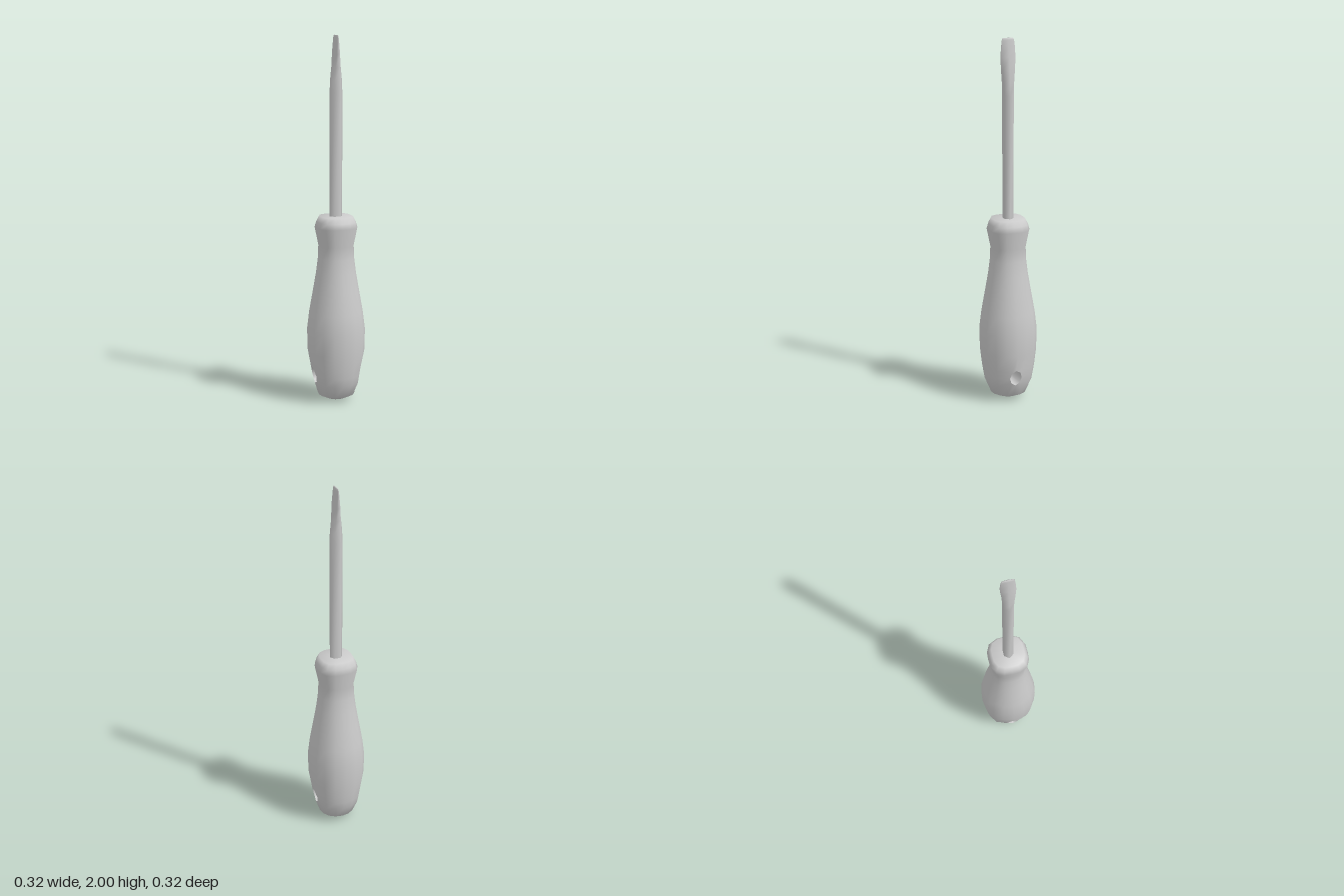
import * as THREE from 'three';

const material = new THREE.MeshStandardMaterial({ color: 0xcccccc });

function makeMesh(name, points, index) {
  const geometry = new THREE.BufferGeometry();
  geometry.setAttribute('position', new THREE.Float32BufferAttribute(points.flat(), 3));
  geometry.setIndex(index);
  geometry.computeVertexNormals();
  const mesh = new THREE.Mesh(geometry, material);
  mesh.name = name;
  return mesh;
}

// Skin a stack of rings from bottom to top and close both ends with a fan.
function loft(name, rings, bottomY, topY, skip = () => false) {
  const n = rings[0].length;
  const points = rings.flat();
  const index = [];
  for (let j = 0; j < rings.length - 1; j++) {
    for (let k = 0; k < n; k++) {
      if (skip(j, k)) continue;
      const a = j * n + k, b = j * n + (k + 1) % n;
      index.push(a, b, b + n, a, b + n, a + n);
    }
  }
  const bottom = points.push([0, bottomY, 0]) - 1;
  const top = points.push([0, topY, 0]) - 1;
  const last = (rings.length - 1) * n;
  for (let k = 0; k < n; k++) {
    const k2 = (k + 1) % n;
    index.push(bottom, k2, k, top, last + k, last + k2);
  }
  return makeMesh(name, points, index);
}

// Handle: round belly turning into a squarish collar, with a hanging hole.
const SIDES = 16;
const HOLE_ROW = 3;
const HOLE = { y: 0.147, rz: 0.034, ry: 0.045 };
// height, radius, squareness
const HANDLE = [
  [0.008, 0.05, 2], [0.032, 0.1, 2.1], [0.102, 0.13, 2.1], [0.147, 0.138, 2.1],
  [0.192, 0.145, 2.1], [0.28, 0.155, 2.1], [0.4, 0.158, 2.1], [0.5, 0.146, 2.1],
  [0.62, 0.125, 2.1], [0.72, 0.107, 2.2], [0.8, 0.096, 2.4], [0.87, 0.092, 2.7],
  [0.97, 0.11, 3], [1.0, 0.102, 3], [1.03, 0.087, 3],
];

function handlePoint([y, r, n], j, k) {
  const t = k / SIDES * Math.PI * 2;
  const c = Math.cos(t), s = Math.sin(t);
  let q = r / Math.pow(Math.abs(c) ** n + Math.abs(s) ** n, 1 / n);
  // shallow groove running up from the hole
  if (k === 1 && y > 0.25 && y < 0.55) q -= 0.007;
  const dy = j - HOLE_ROW;
  const dk = ((k + 1) % (SIDES / 2)) - 1;
  if (Math.abs(dy) <= 1 && Math.abs(dk) <= 1 && (dy || dk)) {
    // pull the rim of the hole onto an oval
    const a = Math.atan2(dy, dk === 0 ? 0 : -Math.sign(s));
    const onAxis = dk === 0;
    const z = onAxis ? 0 : HOLE.rz * Math.cos(a);
    const yy = HOLE.y + HOLE.ry * Math.sin(a);
    return [Math.sign(c) * Math.sqrt(r * r - z * z) * 0.95, yy, z];
  }
  return [q * c, y, -q * s];
}

function createHandle() {
  const group = new THREE.Group();
  group.name = 'handle';
  const rings = HANDLE.map((row, j) =>
    Array.from({ length: SIDES }, (_, k) => handlePoint(row, j, k)));
  const inHole = (j, k) => (j === HOLE_ROW - 1 || j === HOLE_ROW) &&
    [0, SIDES / 2 - 1, SIDES / 2, SIDES - 1].includes(k);
  group.add(loft('grip', rings, 0, 1.03, inHole));

  // Inner wall of the hole, joining the two rims.
  const points = [], index = [];
  const rim = [[0, 1], [1, 1], [1, 0], [1, -1], [0, -1], [-1, -1], [-1, 0], [-1, 1]];
  rim.forEach(([dy, dz], i) => {
    const ring = rings[HOLE_ROW + dy];
    const right = ring[(SIDES - dz) % SIDES];
    const left = ring[SIDES / 2 + dz];
    points.push(right, left);
    const a = i * 2, b = ((i + 1) % rim.length) * 2;
    index.push(a, a + 1, b + 1, a, b + 1, b);
  });
  group.add(makeMesh('hangingHole', points, index));
  return group;
}

// Blade: six-sided shaft, thinned in x and flared in z at the tip.
function createBlade() {
  // height, half width in x, half width in z
  const sections = [
    [1.0, 0.036, 0.026], [1.7, 0.036, 0.026], [1.76, 0.034, 0.028], [1.83, 0.027, 0.034],
    [1.9, 0.018, 0.039], [1.96, 0.01, 0.036], [1.99, 0.006, 0.033], [2.0, 0.004, 0.028],
  ];
  const rings = sections.map(([y, a, b]) => Array.from({ length: 6 }, (_, k) => {
    const t = k * Math.PI / 3;
    return [a * Math.cos(t), y, -b * Math.sin(t) / Math.sin(Math.PI / 3)];
  }));
  return loft('blade', rings, 1.0, 2.0);
}

export function createModel() {
  const model = new THREE.Group();
  model.name = 'screwdriver';
  model.add(createHandle(), createBlade());
  return model;
}
